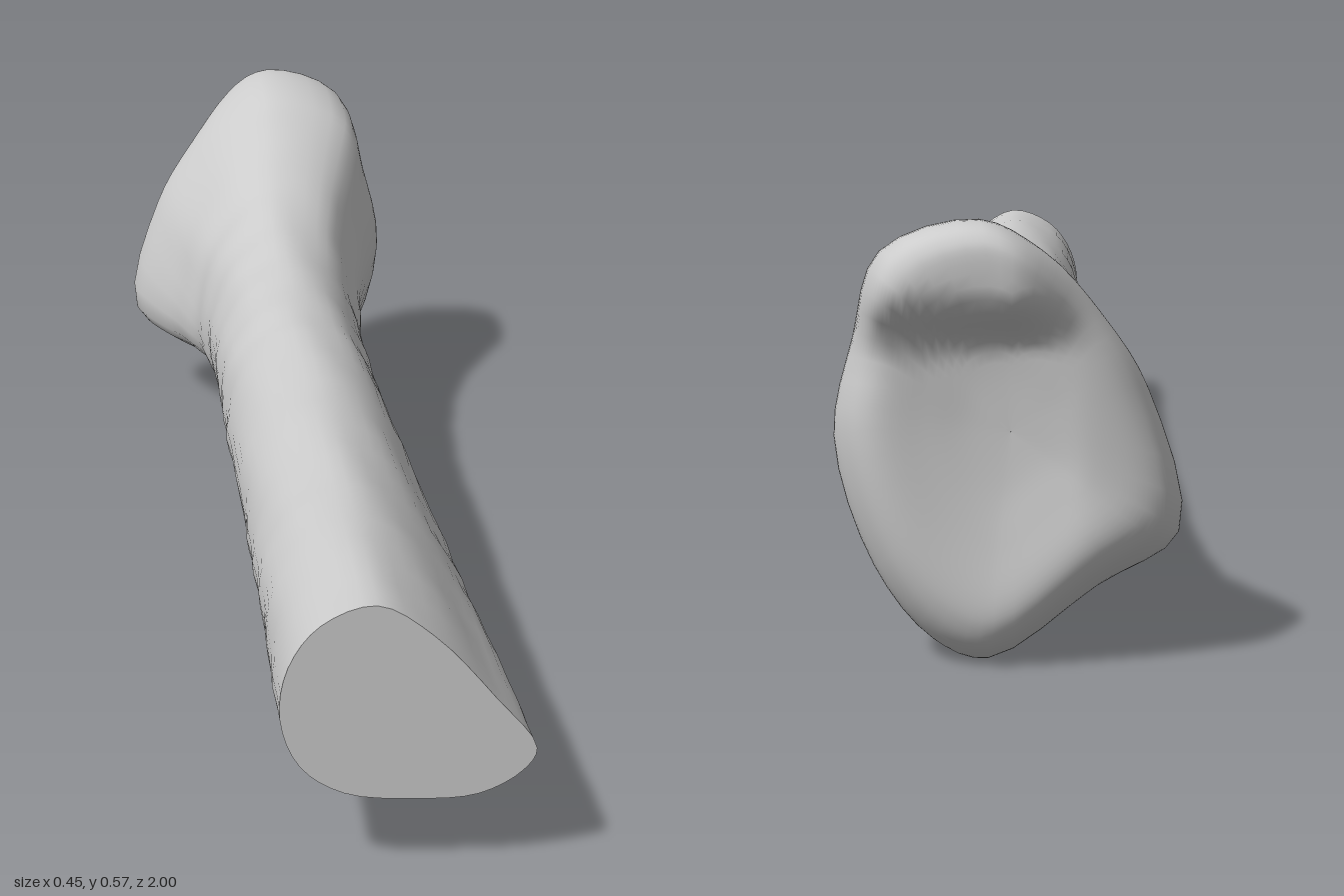
import * as THREE from 'three';

// Cross-section outlines, counter-clockwise from the top: cut end, mid shaft, flared head
const OUTLINES = [
  [[0.02, 0.36], [-0.05, 0.335], [-0.09, 0.28], [-0.1, 0.21], [-0.075, 0.145], [-0.02, 0.107],
    [0.07, 0.096], [0.15, 0.1], [0.205, 0.13], [0.222, 0.16], [0.17, 0.23], [0.09, 0.318]],
  [[0.02, 0.365], [-0.05, 0.34], [-0.092, 0.285], [-0.105, 0.21], [-0.08, 0.145], [-0.03, 0.11],
    [0.03, 0.1], [0.09, 0.11], [0.14, 0.15], [0.155, 0.195], [0.14, 0.26], [0.09, 0.335]],
  [[0.03, 0.57], [-0.05, 0.53], [-0.13, 0.44], [-0.185, 0.35], [-0.225, 0.165], [-0.12, 0.095],
    [0.02, 0], [0.09, 0.025], [0.165, 0.12], [0.215, 0.29], [0.19, 0.42], [0.155, 0.53]],
];

// Stations along the bone: z, outline blend, left, right, bottom, top, shrink
const STATIONS = [
  [1.0, 0, -0.1, 0.222, 0.096, 0.36, 1],
  [0.7, 0.25, -0.1, 0.205, 0.097, 0.357, 1],
  [0.4, 0.55, -0.1, 0.185, 0.098, 0.355, 1],
  [0.0, 1, -0.105, 0.155, 0.1, 0.362, 1],
  [-0.2, 1.05, -0.108, 0.147, 0.1, 0.37, 1],
  [-0.4, 1.2, -0.115, 0.145, 0.098, 0.387, 1],
  [-0.55, 1.4, -0.13, 0.155, 0.088, 0.412, 1],
  [-0.65, 1.6, -0.152, 0.17, 0.066, 0.443, 1],
  [-0.75, 1.8, -0.19, 0.197, 0.03, 0.495, 1],
  [-0.82, 2, -0.22, 0.213, 0.004, 0.538, 1],
  [-0.87, 2, -0.225, 0.212, 0, 0.562, 1],
  [-0.905, 2, -0.217, 0.2, 0.012, 0.57, 0.985],
  [-0.928, 2, -0.21, 0.19, 0.025, 0.57, 0.93],
  [-0.936, 2, -0.2, 0.18, 0.035, 0.57, 0.82],
  [-0.928, 2, -0.2, 0.18, 0.04, 0.56, 0.55],
  [-0.92, 2, -0.2, 0.18, 0.04, 0.56, 0.28],
  [-0.917, 2, -0.2, 0.18, 0.04, 0.56, 0.001],
];

const SIDES = 48;
const STEPS = 5;
const { smoothstep, lerp } = THREE.MathUtils;

// Smooth each outline and stretch it to a unit box
const unitOutlines = OUTLINES.map((points) => {
  const curve = new THREE.CatmullRomCurve3(points.map(([x, y]) => new THREE.Vector3(x, y, 0)), true);
  const ring = Array.from({ length: SIDES }, (_, j) => curve.getPoint(j / SIDES));
  const box = new THREE.Box3().setFromPoints(ring);
  const size = box.getSize(new THREE.Vector3());
  return ring.map((p) => [(p.x - box.min.x) / size.x, (p.y - box.min.y) / size.y]);
});

// Catmull-Rom interpolation of a whole station row
function stationAt(t) {
  const last = STATIONS.length - 1;
  const i = Math.min(Math.floor(t), last - 1);
  const f = t - i;
  const row = (k) => STATIONS[Math.min(Math.max(k, 0), last)];
  return row(i).map((b, k) => {
    const a = row(i - 1)[k], c = row(i + 1)[k], d = row(i + 2)[k];
    return b + 0.5 * f * (c - a + f * (2 * a - 5 * b + 4 * c - d + f * (3 * (b - c) + d - a)));
  });
}

function ringAt(t) {
  const [z, blend, x0, x1, y0, y1, shrink] = stationAt(t);
  const k = blend > 1 ? 1 : 0;
  const f = THREE.MathUtils.clamp(blend - k, 0, 1);
  return unitOutlines[k].map(([u, v], j) => {
    const [u2, v2] = unitOutlines[k + 1][j];
    const cx = (x0 + x1) / 2, cy = (y0 + y1) / 2;
    let x = cx + (lerp(x0, x1, lerp(u, u2, f)) - cx) * shrink;
    let y = cy + (lerp(y0, y1, lerp(v, v2, f)) - cy) * shrink;
    // gentle unevenness of the shaft, fading at both ends
    const angle = (j / SIDES) * Math.PI * 2;
    const bump = 0.0025 * Math.sin(z * 31 + angle * 3) * Math.sin(z * 17 - angle * 5);
    const fade = smoothstep(z, -0.9, -0.6) * (1 - smoothstep(z, 0.9, 1));
    x -= Math.sin(angle) * bump * fade;
    y += Math.cos(angle) * bump * fade;
    // upper lip overhanging the joint face, and the set-back side lobe
    const end = smoothstep(-z, 0.82, 0.93);
    const lip = 0.066 * smoothstep(y, 0.4, 0.48) * smoothstep(x, -0.12, -0.01);
    const lobe = 0.025 * smoothstep(-x, 0.09, 0.2);
    return new THREE.Vector3(x, y, z + end * (lobe - lip));
  });
}

function boneSurface() {
  const rows = (STATIONS.length - 1) * STEPS;
  const positions = [], index = [];
  for (let i = 0; i <= rows; i++) {
    for (const p of ringAt(i / STEPS)) positions.push(p.x, p.y, p.z);
    if (i === rows) break;
    for (let j = 0; j < SIDES; j++) {
      const a = i * SIDES + j, b = i * SIDES + ((j + 1) % SIDES);
      index.push(a, a + SIDES, b, b, a + SIDES, b + SIDES);
    }
  }
  const geometry = new THREE.BufferGeometry();
  geometry.setAttribute('position', new THREE.Float32BufferAttribute(positions, 3));
  geometry.setIndex(index);
  geometry.computeVertexNormals();
  return geometry;
}

export function createModel() {
  const group = new THREE.Group();
  group.name = 'longBone';
  const material = new THREE.MeshStandardMaterial({ color: 0xcccccc });

  // Shaft and flared head in one continuous skin
  const bone = new THREE.Mesh(boneSurface(), material);
  bone.name = 'shaftAndHead';

  // Flat sawn end
  const outline = ringAt(0).map((p) => new THREE.Vector2(p.x, p.y));
  const cut = new THREE.Mesh(new THREE.ShapeGeometry(new THREE.Shape(outline)), material);
  cut.name = 'cutEnd';
  cut.position.z = 1;

  group.add(bone, cut);
  return group;
}
